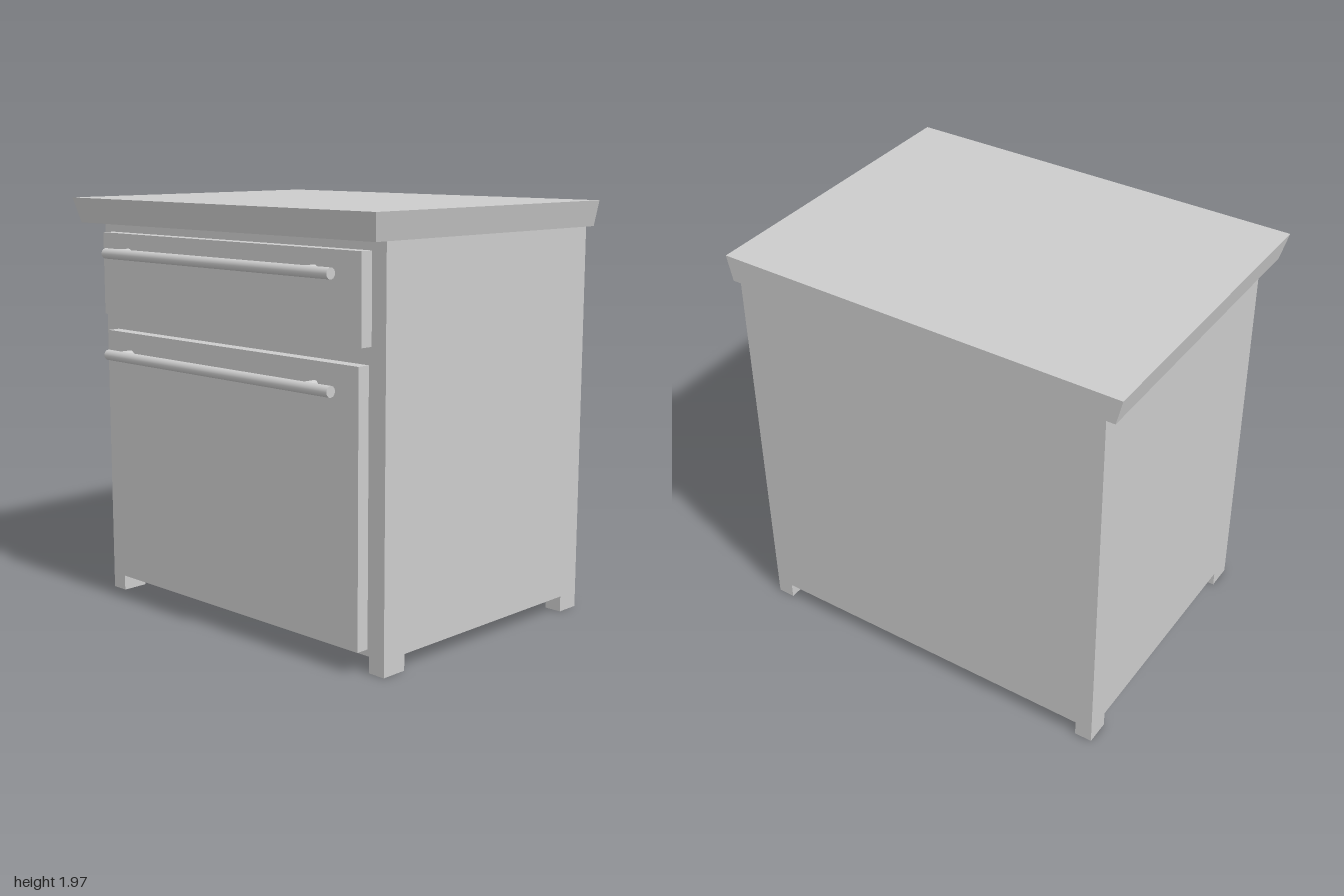
import * as THREE from 'three';

const material = new THREE.MeshStandardMaterial({ color: 0xcccccc });

// Box given by its lower and upper corner
function block(name, [x0, y0, z0], [x1, y1, z1]) {
  const geometry = new THREE.BoxGeometry(x1 - x0, y1 - y0, z1 - z0);
  geometry.translate((x0 + x1) / 2, (y0 + y1) / 2, (z0 + z1) / 2);
  const mesh = new THREE.Mesh(geometry, material);
  mesh.name = name;
  return mesh;
}

// Bar handle on two round posts
function barHandle(name, y) {
  const group = new THREE.Group();
  group.name = name;
  const bar = new THREE.Mesh(new THREE.CylinderGeometry(0.025, 0.025, 1.5, 20), material);
  bar.name = 'handleBar';
  bar.rotation.z = Math.PI / 2;
  bar.position.set(-0.005, y, 0.743);
  group.add(bar);
  for (const x of [-0.67, 0.58]) {
    const post = new THREE.Mesh(new THREE.CylinderGeometry(0.023, 0.023, 0.073, 16), material);
    post.name = 'handlePost';
    post.rotation.x = Math.PI / 2;
    post.position.set(x, y, 0.7065);
    group.add(post);
  }
  return group;
}

export function createModel() {
  const model = new THREE.Group();
  model.name = 'cabinet';

  // Carcass
  model.add(block('carcass', [-0.93, 0.075, -0.77], [0.93, 1.85, 0.61]));

  // Worktop: its front and sides slope inwards towards the underside, the back is flush
  const worktop = block('worktop', [-1, 1.85, -0.77], [1, 1.97, 0.75]);
  const p = worktop.geometry.attributes.position;
  for (let i = 0; i < p.count; i++) {
    if (p.getY(i) > 1.9) continue;
    p.setX(i, p.getX(i) - Math.sign(p.getX(i)) * 0.028);
    if (p.getZ(i) > 0) p.setZ(i, 0.72);
  }
  worktop.geometry.computeVertexNormals();
  model.add(worktop);

  // Feet, flush with the carcass corners
  for (const [x0, x1] of [[-0.93, -0.845], [0.845, 0.93]]) {
    model.add(block('frontFoot', [x0, 0, 0.48], [x1, 0.075, 0.61]));
    model.add(block('backFoot', [x0, 0, -0.77], [x1, 0.075, -0.65]));
  }

  // Drawer and door fronts with their handles
  model.add(block('drawerFront', [-0.865, 1.41, 0.61], [0.85, 1.805, 0.672]));
  model.add(block('doorFront', [-0.843, 0.105, 0.61], [0.835, 1.332, 0.672]));
  model.add(barHandle('drawerHandle', 1.713));
  model.add(barHandle('doorHandle', 1.226));

  return model;
}
